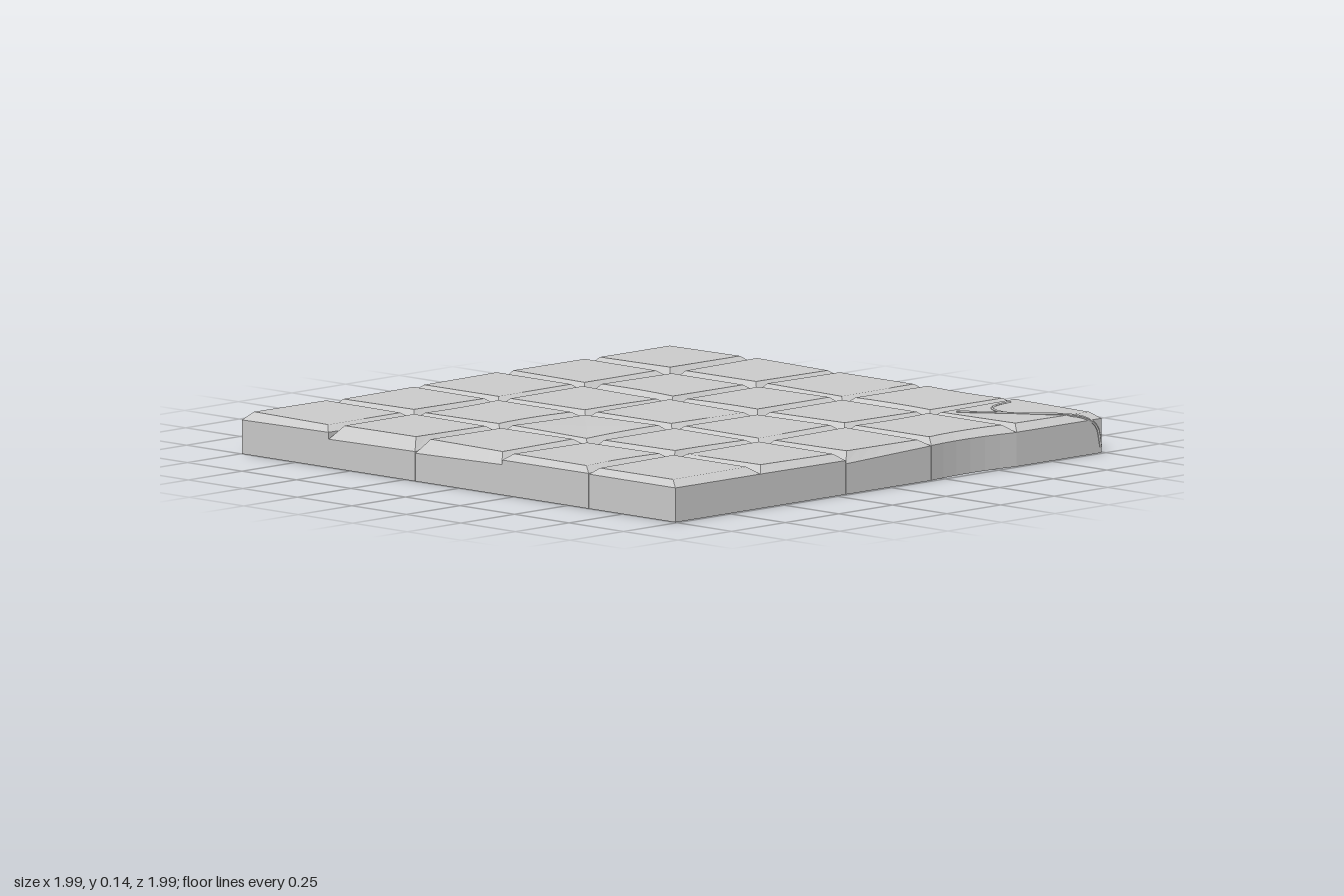
import * as THREE from 'three';

const PITCH = 0.398, SIZE = 0.396, SEG = 6, TOP = 0.137;
const material = new THREE.MeshStandardMaterial({ color: 0xcccccc, flatShading: true });

// Tiles with a broader, lower bevel on two sides ("row,column")
const worn = new Set(['0,1', '0,3', '0,4', '1,0', '1,3', '1,4', '2,0', '2,3', '3,1', '4,2']);
// Inward bow of the sides: front, right, back, left
const bows = {
  '1,1': [0.016, 0, 0.012, 0], '1,3': [0, 0, 0, 0.012], '2,3': [0, 0, 0, 0.01],
  '2,1': [0.01, 0, 0.006, 0], '3,4': [0, 0.014, 0, 0.01], '4,3': [0.016, 0, 0.012, 0],
  '3,0': [0.014, 0, 0, 0], '3,1': [0.006, 0, 0, 0], '1,2': [0.005, 0.006, 0, 0],
};

function seeded(seed) {
  return () => (seed = (seed * 16807) % 2147483647) / 2147483647;
}

// One loop round the tile, anticlockwise from above; heights are given at the corners
function ring(inset, heights, bow) {
  const [f, r, b, l] = inset, h = SIZE / 2;
  const corners = [[-h + l, h - f], [h - r, h - f], [h - r, -h + b], [-h + l, -h + b]];
  const inward = [[0, -1], [-1, 0], [0, 1], [1, 0]];
  const points = [];
  for (let s = 0; s < 4; s++) {
    const a = corners[s], c = corners[(s + 1) % 4];
    for (let i = 0; i < SEG; i++) {
      const t = i / SEG, d = bow[s] * 4 * t * (1 - t);
      points.push([
        a[0] + (c[0] - a[0]) * t + inward[s][0] * d,
        heights[s] + (heights[(s + 1) % 4] - heights[s]) * t,
        a[1] + (c[1] - a[1]) * t + inward[s][1] * d,
      ]);
    }
  }
  return points;
}

// Stone block: wall, bevel, top and underside
function tileGeometry(row, col, rand) {
  const key = `${row},${col}`, bow = bows[key] ?? [0, 0, 0, 0], old = worn.has(key);
  const jitter = (n) => (rand() - 0.5) * n;
  const inset = [0.032, 0.03, old ? 0.036 : 0.027, old ? 0.036 : 0.027].map((v) => v + jitter(0.008));
  const rim = [old ? 0.1 : 0.115, 0.114, old ? 0.106 : 0.115, old ? 0.094 : 0.114].map((v) => v + jitter(0.004));
  const top = [0, 0, 0, 0].map(() => TOP + jitter(0.005));
  const loops = [
    ring([0, 0, 0, 0], [0, 0, 0, 0], bow),
    ring([0, 0, 0, 0], rim, bow),
    ring(inset, top, bow.map((v) => v * 0.8)),
  ];
  const n = SEG * 4, index = [];
  for (let k = 0; k < 2; k++) {
    for (let i = 0; i < n; i++) {
      const a = k * n + i, b = k * n + (i + 1) % n;
      index.push(a, b, b + n, a, b + n, a + n);
    }
  }
  for (let i = 0; i < n; i++) {
    const j = (i + 1) % n;
    index.push(3 * n, 2 * n + i, 2 * n + j, 3 * n + 1, j, i);
  }
  const geometry = new THREE.BufferGeometry();
  const points = [...loops.flat(), [0, TOP, 0], [0, 0, 0]];
  geometry.setAttribute('position', new THREE.Float32BufferAttribute(points.flat(), 3));
  geometry.setIndex(index);
  geometry.computeVertexNormals();
  return geometry;
}

// Thin crack line lying on the stone
function crackLine(name, points) {
  const curve = new THREE.CatmullRomCurve3(points.map((p) => new THREE.Vector3(...p)));
  const mesh = new THREE.Mesh(new THREE.TubeGeometry(curve, 28, 0.005, 5), material);
  mesh.name = name;
  return mesh;
}

export function createModel() {
  const model = new THREE.Group();
  model.name = 'pavedFloor';
  const rand = seeded(4711);

  // Five by five paving
  const paving = new THREE.Group();
  paving.name = 'paving';
  for (let row = 0; row < 5; row++) {
    for (let col = 0; col < 5; col++) {
      const tile = new THREE.Mesh(tileGeometry(row, col, rand), material);
      tile.name = `tileRow${row + 1}Column${col + 1}`;
      tile.position.set((col - 2) * PITCH - 0.004, 0, (row - 2) * PITCH - 0.004);
      paving.add(tile);
    }
  }
  model.add(paving);

  // Forked crack running over the front left corner
  const crack = new THREE.Group();
  crack.name = 'crack';
  crack.add(
    crackLine('mainCrack', [
      [0.65, TOP, 0.66], [0.69, TOP, 0.72], [0.74, TOP, 0.79], [0.8, TOP, 0.88],
      [0.86, TOP, 0.955], [0.92, 0.122, 0.985], [0.965, 0.09, 0.991], [0.985, 0.02, 0.991],
    ]),
    crackLine('crackBranch', [
      [0.74, TOP, 0.79], [0.755, TOP, 0.735], [0.79, TOP, 0.685], [0.84, TOP, 0.66], [0.91, TOP, 0.65],
    ]),
  );
  model.add(crack);
  return model;
}
